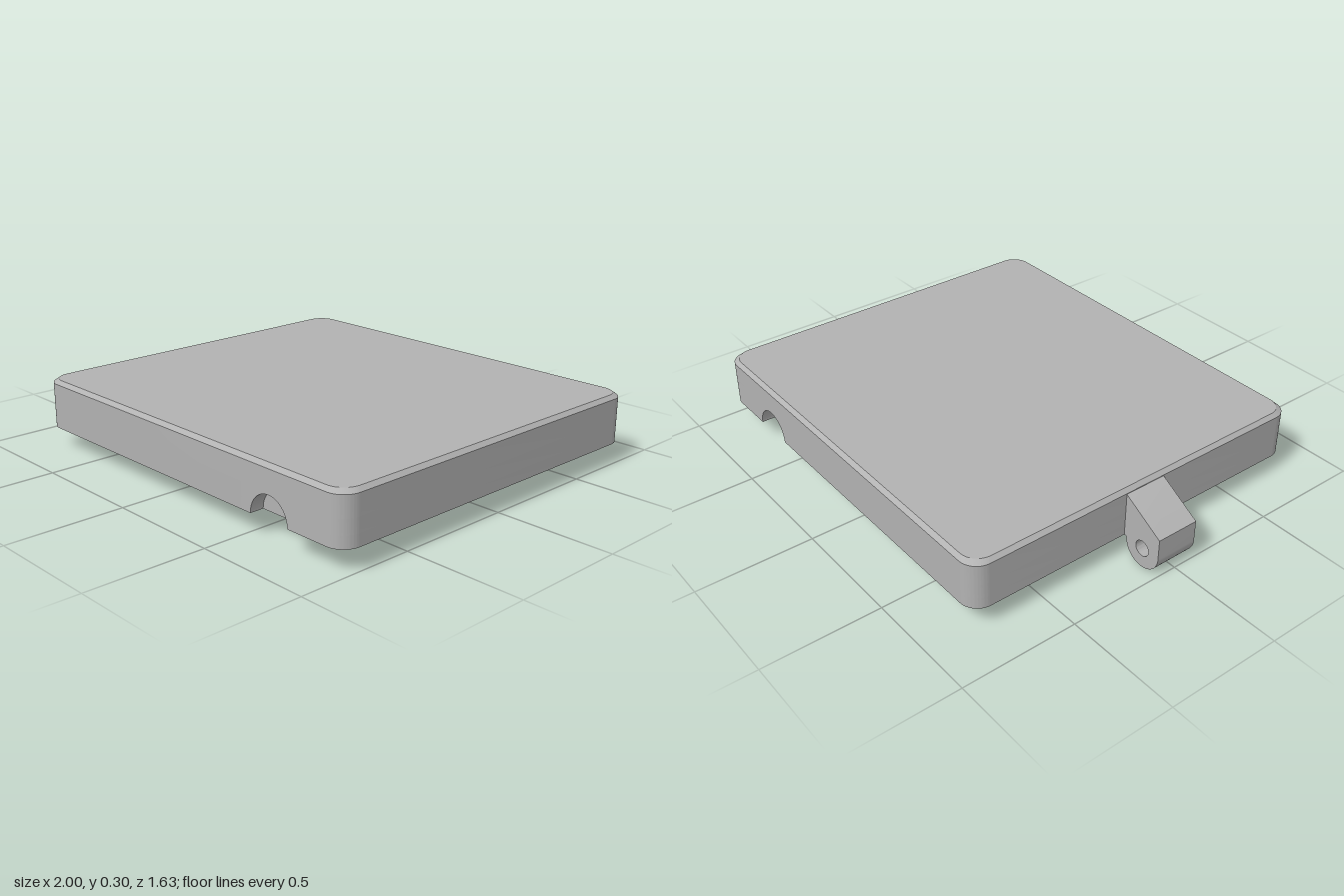
import * as THREE from 'three';
import { toCreasedNormals } from 'three/addons/utils/BufferGeometryUtils.js';

const CX = 0.0925, HW = 0.9075, HD = 0.815, R = 0.08; // plate centre, half sizes, corner radius
const BASE = 0.09, NOTCH_X = 0.63, NOTCH_R = 0.098, BITE = 0.11, BITE_DEPTH = 0.06;

// Rounded plan outline, optionally with a bite in the front and back edges
function outline(bites) {
  const s = new THREE.Shape();
  const x0 = CX - HW, x1 = CX + HW;
  const bite = (a, b, z, inner) => {
    if (!bites) return;
    s.lineTo(a, z); s.lineTo(a, inner); s.lineTo(b, inner); s.lineTo(b, z);
  };
  s.moveTo(x0 + R, -HD);
  bite(NOTCH_X - BITE, NOTCH_X + BITE, -HD, -HD + BITE_DEPTH);
  s.absarc(x1 - R, -HD + R, R, -Math.PI / 2, 0);
  s.absarc(x1 - R, HD - R, R, 0, Math.PI / 2);
  bite(NOTCH_X + BITE, NOTCH_X - BITE, HD, HD - BITE_DEPTH);
  s.absarc(x0 + R, HD - R, R, Math.PI / 2, Math.PI);
  s.absarc(x0 + R, -HD + R, R, Math.PI, Math.PI * 1.5);
  return s;
}

// Two long tapering pockets open to the underside
function pockets() {
  const half = [[0.91, 0.245], [0.45, 0.36], [0.08, 0.335], [-0.775, 0.198]];
  return [-0.39, 0.39].map((c) => {
    const pts = [
      ...half.map(([x, h]) => new THREE.Vector2(x, c + h)),
      ...[...half].reverse().map(([x, h]) => new THREE.Vector2(x, c - h)),
    ];
    return new THREE.Path(pts);
  });
}

function roundHole(x, z, r) {
  const p = new THREE.Path();
  p.absarc(x, z, r, 0, Math.PI * 2, true);
  return p;
}

// Horizontal slab between two heights
function slab(shape, y0, y1) {
  const g = new THREE.ExtrudeGeometry(shape, { depth: y1 - y0, bevelEnabled: false, curveSegments: 16 });
  g.rotateX(-Math.PI / 2);
  g.translate(0, y0, 0);
  return g;
}

export function createModel() {
  const group = new THREE.Group();
  const grey = new THREE.MeshStandardMaterial({ color: 0xb2b2b2 });
  grey.name = 'plain grey';
  const add = (name, geometry) => {
    const mesh = new THREE.Mesh(toCreasedNormals(geometry, 0.5), grey);
    mesh.name = name;
    group.add(mesh);
    return mesh;
  };

  // Lower rim with pockets and three shallow round recesses
  const lower = outline(true);
  lower.holes.push(...pockets(), roundHole(0.873, 0, 0.098),
    roundHole(0.92, 0.735, 0.052), roundHole(0.92, -0.735, 0.052));
  add('lowerRim', slab(lower, BASE, 0.14));

  // Middle and upper parts of the pocket walls
  const middle = outline(true);
  middle.holes.push(...pockets());
  add('middleRim', slab(middle, 0.14, BASE + BITE));
  const upper = outline(false);
  upper.holes.push(...pockets());
  add('upperRim', slab(upper, BASE + BITE, 0.277));

  // Top plate and its chamfered edge
  add('topPlate', slab(outline(false), 0.277, 0.286));
  const chamfer = slab(outline(false), 0.286, 0.302);
  const p = chamfer.attributes.position;
  for (let i = 0; i < p.count; i++) {
    if (p.getY(i) < 0.295) continue;
    p.setX(i, CX + (p.getX(i) - CX) * (HW - 0.017) / HW);
    p.setZ(i, p.getZ(i) * (HD - 0.017) / HD);
  }
  chamfer.computeVertexNormals();
  add('topChamfer', chamfer);

  // Arched surrounds of the finger notches, front and back
  const arch = new THREE.Shape();
  arch.moveTo(NOTCH_X + NOTCH_R, BASE);
  arch.lineTo(NOTCH_X + BITE, BASE);
  arch.lineTo(NOTCH_X + BITE, BASE + BITE);
  arch.lineTo(NOTCH_X - BITE, BASE + BITE);
  arch.lineTo(NOTCH_X - BITE, BASE);
  arch.lineTo(NOTCH_X - NOTCH_R, BASE);
  arch.absarc(NOTCH_X, BASE, NOTCH_R, Math.PI, 0, true);
  for (const [name, z] of [['frontNotch', HD - BITE_DEPTH], ['backNotch', -HD]]) {
    const g = new THREE.ExtrudeGeometry(arch, { depth: BITE_DEPTH, bevelEnabled: false, curveSegments: 24 });
    g.translate(0, 0, z);
    add(name, g);
  }

  // Hinge lug with a pin hole
  const lug = new THREE.Shape();
  lug.moveTo(-0.8, BASE);
  lug.lineTo(-0.8, 0.285);
  lug.lineTo(-0.815, 0.283);
  lug.lineTo(-1, 0.177);
  lug.absarc(-0.914, 0.086, 0.086, Math.PI, Math.PI * 2);
  lug.lineTo(-0.828, BASE);
  lug.holes.push(roundHole(-0.914, 0.086, 0.034));
  const lugGeometry = new THREE.ExtrudeGeometry(lug, { depth: 0.19, bevelEnabled: false, curveSegments: 24 });
  lugGeometry.translate(0, 0, -0.095);
  add('hingeLug', lugGeometry);

  return group;
}
